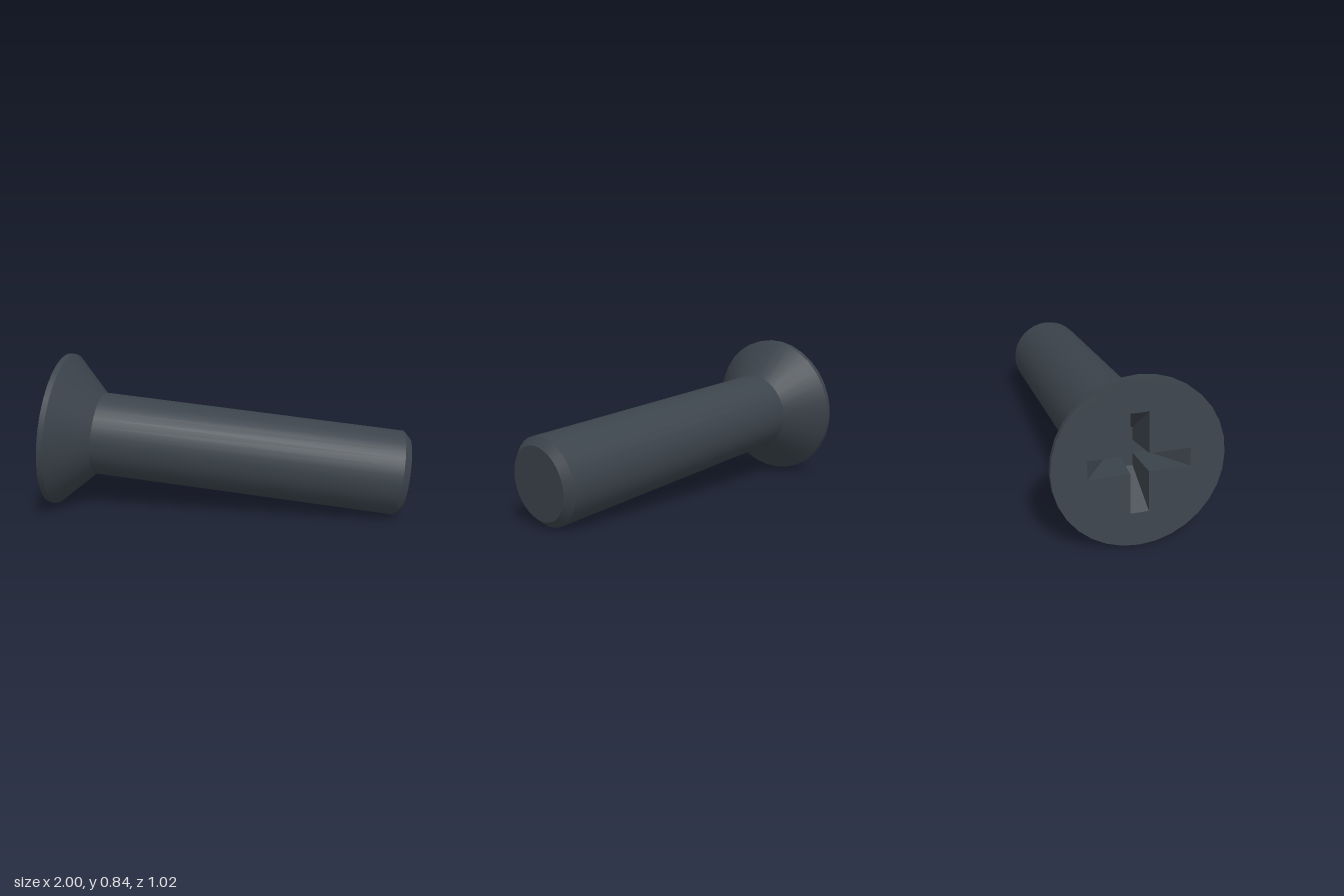
import * as THREE from 'three';

const SIDES = 32;
const HEAD_R = 0.422, SHAFT_R = 0.229, TIP_R = 0.191;
const RIM = 0.03, NECK = 0.223, LENGTH = 1.91, CHAMFER = 0.038;

// Outline of a cross-shaped slot, counter-clockwise
function crossOutline(long, half) {
  const pts = [];
  for (let i = 0; i < 4; i++) {
    for (const [x, y] of [[long, -half], [long, half], [half, half]]) {
      pts.push(new THREE.Vector2(x, y).rotateAround(new THREE.Vector2(), i * Math.PI / 2));
    }
  }
  return pts;
}

// Flat walls joining the slot's mouth to its smaller floor
function slotWalls(mouth, floor, depth) {
  const pos = [];
  mouth.forEach((a, i) => {
    const j = (i + 1) % mouth.length;
    const b = mouth[j], c = floor[j], d = floor[i];
    pos.push(a.x, a.y, 0, b.x, b.y, 0, c.x, c.y, -depth);
    pos.push(a.x, a.y, 0, c.x, c.y, -depth, d.x, d.y, -depth);
  });
  const geo = new THREE.BufferGeometry();
  geo.setAttribute('position', new THREE.Float32BufferAttribute(pos, 3));
  geo.computeVertexNormals();
  return geo;
}

export function createModel() {
  const steel = new THREE.MeshStandardMaterial({ color: 0x3b434b });
  steel.name = 'darkSteel';
  const screw = new THREE.Group();
  screw.name = 'screw';

  const add = (name, geo) => {
    const mesh = new THREE.Mesh(geo, steel);
    mesh.name = name;
    screw.add(mesh);
  };

  // Turned sections, kept separate so the edges between them stay sharp
  const sections = [
    ['headRim', HEAD_R, 0, HEAD_R, RIM],
    ['headCone', HEAD_R, RIM, SHAFT_R, NECK],
    ['shaft', SHAFT_R, NECK, SHAFT_R, LENGTH - CHAMFER],
    ['tipChamfer', SHAFT_R, LENGTH - CHAMFER, TIP_R, LENGTH],
    ['tipEnd', TIP_R, LENGTH, 0, LENGTH],
  ];
  for (const [name, r0, y0, r1, y1] of sections) {
    add(name, new THREE.LatheGeometry([new THREE.Vector2(r0, y0), new THREE.Vector2(r1, y1)], SIDES));
  }

  // Flat head face with a tapered cross recess
  const depth = 0.2;
  const mouth = crossOutline(0.25, 0.046);
  const floor = crossOutline(0.1, 0.034);
  const disc = [];
  for (let i = 0; i < SIDES; i++) {
    const a = i / SIDES * Math.PI * 2;
    disc.push(new THREE.Vector2(HEAD_R * Math.cos(a), HEAD_R * Math.sin(a)));
  }
  const face = new THREE.Shape(disc);
  face.holes.push(new THREE.Path(mouth.slice().reverse()));
  add('headFace', new THREE.ShapeGeometry(face).rotateX(Math.PI / 2));
  add('recessWalls', slotWalls(mouth, floor, depth).rotateX(Math.PI / 2));
  add('recessFloor', new THREE.ShapeGeometry(new THREE.Shape(floor))
    .translate(0, 0, -depth).rotateX(Math.PI / 2));

  // Lay the screw down, resting on its head and tip
  const axis = new THREE.Vector3(1, -0.108, 0.2125).normalize();
  const side = new THREE.Vector3(-axis.z, 0, axis.x).normalize();
  const up = new THREE.Vector3().crossVectors(side, axis);
  screw.quaternion.setFromRotationMatrix(new THREE.Matrix4().makeBasis(side, axis, up));
  screw.position.set(-0.902, 0.422, -0.1);

  const model = new THREE.Group();
  model.name = 'countersunkScrew';
  model.add(screw);
  return model;
}
